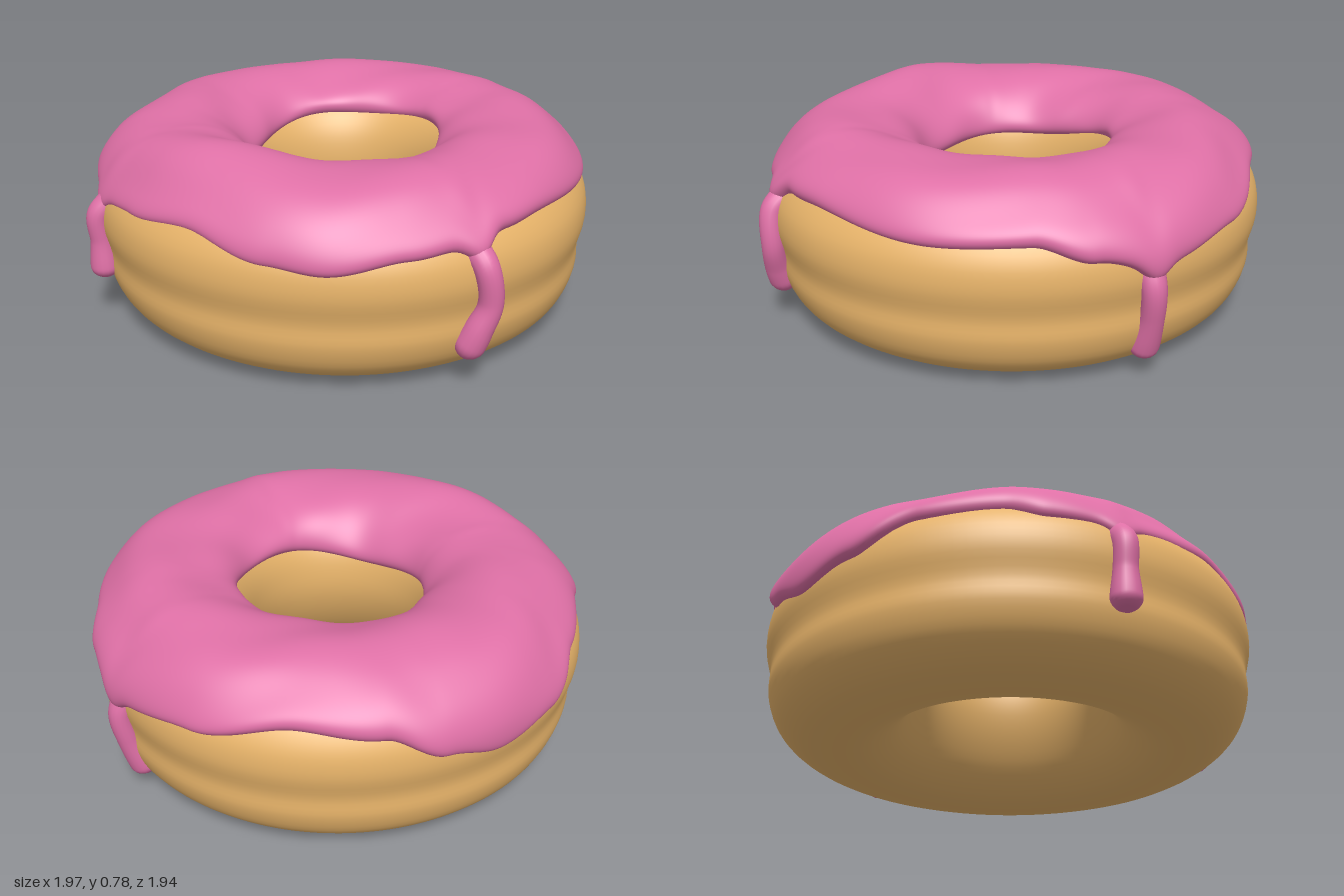
import * as THREE from 'three';
import { mergeVertices } from 'three/addons/utils/BufferGeometryUtils.js';

const rad = THREE.MathUtils.degToRad;
const SHIFT = new THREE.Vector3(0.012, 0, 0.01);

// Dough cross-section (radius, height): up the outside, over the top, down the hole
const section = [
  [0.65, 0], [0.8, 0.025], [0.9, 0.1], [0.942, 0.2], [0.943, 0.29], [0.966, 0.4],
  [0.952, 0.5], [0.885, 0.6], [0.78, 0.68], [0.65, 0.705], [0.52, 0.68], [0.42, 0.62],
  [0.36, 0.53], [0.335, 0.42], [0.34, 0.32], [0.38, 0.2], [0.45, 0.09], [0.55, 0.02],
];
const TOP = 9 / section.length;
const profile = new THREE.CatmullRomCurve3(section.map(([r, y]) => new THREE.Vector3(r, y, 0)), true);

// Curve parameter where the outer or inner flank reaches height y
function paramAt(y, outer) {
  let low = outer ? 0 : 14 / section.length, high = TOP;
  for (let i = 0; i < 24; i++) {
    const mid = (low + high) / 2;
    if (profile.getPoint(mid).y < y) low = mid; else high = mid;
  }
  return low;
}

// Point on the dough at turn a, curve parameter u, raised by h along the normal
function surface(a, u, h = 0) {
  const p = profile.getPoint(u), t = profile.getTangent(u);
  const outside = THREE.MathUtils.smoothstep(p.x, 0.45, 0.85);
  const wobble = 0.005 * Math.sin(3 * a + 1) * Math.sin(Math.PI * p.y / 0.7);
  const hole = 0.018 * Math.sin(a) * (1 - outside);       // hole sits slightly forward
  const back = -0.018 * Math.max(0, -Math.sin(a)) * outside; // flatter at the back
  const r = p.x + h * t.y + wobble + hole + back;
  return new THREE.Vector3(r * Math.cos(a), p.y - h * t.x, r * Math.sin(a)).add(SHIFT);
}

// Mesh of a surface swept around the ring
function sweep(name, color, turns, steps, closed, point) {
  const pos = [], index = [], cols = closed ? steps : steps + 1;
  for (let i = 0; i < turns; i++) {
    for (let j = 0; j < cols; j++) pos.push(...point((i / turns) * Math.PI * 2, j / steps).toArray());
    for (let j = 0; j < steps; j++) {
      const a = i * cols + j, b = i * cols + ((j + 1) % cols);
      const c = ((i + 1) % turns) * cols + j, d = ((i + 1) % turns) * cols + ((j + 1) % cols);
      index.push(a, b, c, b, d, c);
    }
  }
  const g = new THREE.BufferGeometry();
  g.setAttribute('position', new THREE.Float32BufferAttribute(pos, 3));
  g.setIndex(index);
  return finish(g, name, color);
}

function finish(g, name, color) {
  g.computeVertexNormals();
  const mesh = new THREE.Mesh(g, new THREE.MeshStandardMaterial({ color }));
  mesh.name = name;
  return mesh;
}

// Drips as paths of [degrees, height, lift off the dough]
const drips = {
  frontDrip: [[117.5, 0.51, -0.035], [117.5, 0.44, 0.008], [117.5, 0.33, 0.018], [117.5, 0.19, 0.025]],
  leftDrip: [[20, 0.55, -0.035], [19, 0.47, 0.008], [18, 0.34, 0.028], [20, 0.23, 0.018], [22, 0.13, 0.012]],
  backDrip: [[282, 0.44, -0.035], [282, 0.37, 0.005], [281.5, 0.25, 0.01], [281, 0.08, 0.005]],
};

// Height of the icing's outer edge around the ring (degrees from +x towards +z)
const edge = [
  [0, 0.57], [12, 0.56], [20, 0.54], [35, 0.52], [52, 0.48], [64, 0.5], [84, 0.56], [102, 0.53],
  [115, 0.51], [133, 0.51], [142, 0.55], [160, 0.53], [175, 0.43], [190, 0.39], [203, 0.44],
  [216, 0.53], [235, 0.56], [258, 0.49], [281, 0.44], [295, 0.49], [308, 0.55], [330, 0.54], [360, 0.57],
];
function edgeHeight(a) {
  const deg = THREE.MathUtils.radToDeg(a);
  const i = Math.max(1, edge.findIndex(([d]) => d >= deg));
  const [d0, y0] = edge[i - 1], [d1, y1] = edge[i];
  let y = THREE.MathUtils.lerp(y0, y1, THREE.MathUtils.smoothstep(deg, d0, d1));
  // the edge sags where a drip leaves it
  for (const [[d]] of Object.values(drips)) y -= 0.045 * Math.exp(-(((deg - d) / 3.5) ** 2));
  return y;
}

// Icing: a rounded layer from the outer edge over the top into the hole
function icingPoint(a, v) {
  const s = 0.5 - 0.5 * Math.cos(Math.PI * v);
  const uOut = paramAt(edgeHeight(a), true);
  const uIn = paramAt(0.56 - 0.055 * Math.sin(a) + 0.01 * Math.sin(4 * a), false);
  const u = THREE.MathUtils.lerp(uOut, uIn, s);
  const round = Math.sqrt(Math.max(0, 1 - Math.pow(Math.abs(2 * s - 1), 14)));
  const bump = 0.035 * Math.exp(-(((a - 1.52) / 0.32) ** 2) - ((u - TOP) / 0.075) ** 2);
  const thin = 0.024 * Math.exp(-(((a - 1.6) / 0.5) ** 2)) * (1 - THREE.MathUtils.smoothstep(s, 0.1, 0.4));
  const wave = 0.005 * Math.sin(5 * a + 14 * s) + 0.003 * Math.sin(9 * a - 6 * s);
  return surface(a, u, -0.012 + round * (0.052 + bump - thin + wave));
}

// Drip: a tube down the side, flared at the top, with a swollen round end
function drip(name, color, path, radius) {
  const pts = path.map(([deg, y, h]) => surface(rad(deg), paramAt(y, true), h));
  const curve = new THREE.CatmullRomCurve3(pts);
  const N = 48, M = 18;
  const g = new THREE.TubeGeometry(curve, N, radius, M);
  const pos = g.attributes.position, v = new THREE.Vector3();
  for (let i = 0; i <= N; i++) {
    const t = i / N, c = curve.getPointAt(t);
    const cap = t > 0.86 ? Math.sqrt(Math.max(0, 1 - ((t - 0.86) / 0.14) ** 2)) : 1;
    const k = cap * (0.88 + 0.25 * Math.exp(-t * 8) + 0.25 * THREE.MathUtils.smoothstep(t, 0.5, 0.9));
    for (let j = 0; j <= M; j++) {
      const n = i * (M + 1) + j;
      v.fromBufferAttribute(pos, n).sub(c).multiplyScalar(k).add(c);
      pos.setXYZ(n, v.x, v.y, v.z);
    }
  }
  g.deleteAttribute('uv');
  g.deleteAttribute('normal');
  return finish(mergeVertices(g, 1e-5), name, color);
}

export function createModel() {
  const group = new THREE.Group();
  group.name = 'donut';
  const doughColor = 0xe8b46a, icingColor = 0xdf70a6;

  group.add(sweep('dough', doughColor, 128, 72, true, (a, v) => surface(a, v)));
  group.add(sweep('icing', icingColor, 360, 64, false, icingPoint));
  for (const [name, path] of Object.entries(drips)) group.add(drip(name, icingColor, path, 0.05));
  return group;
}
